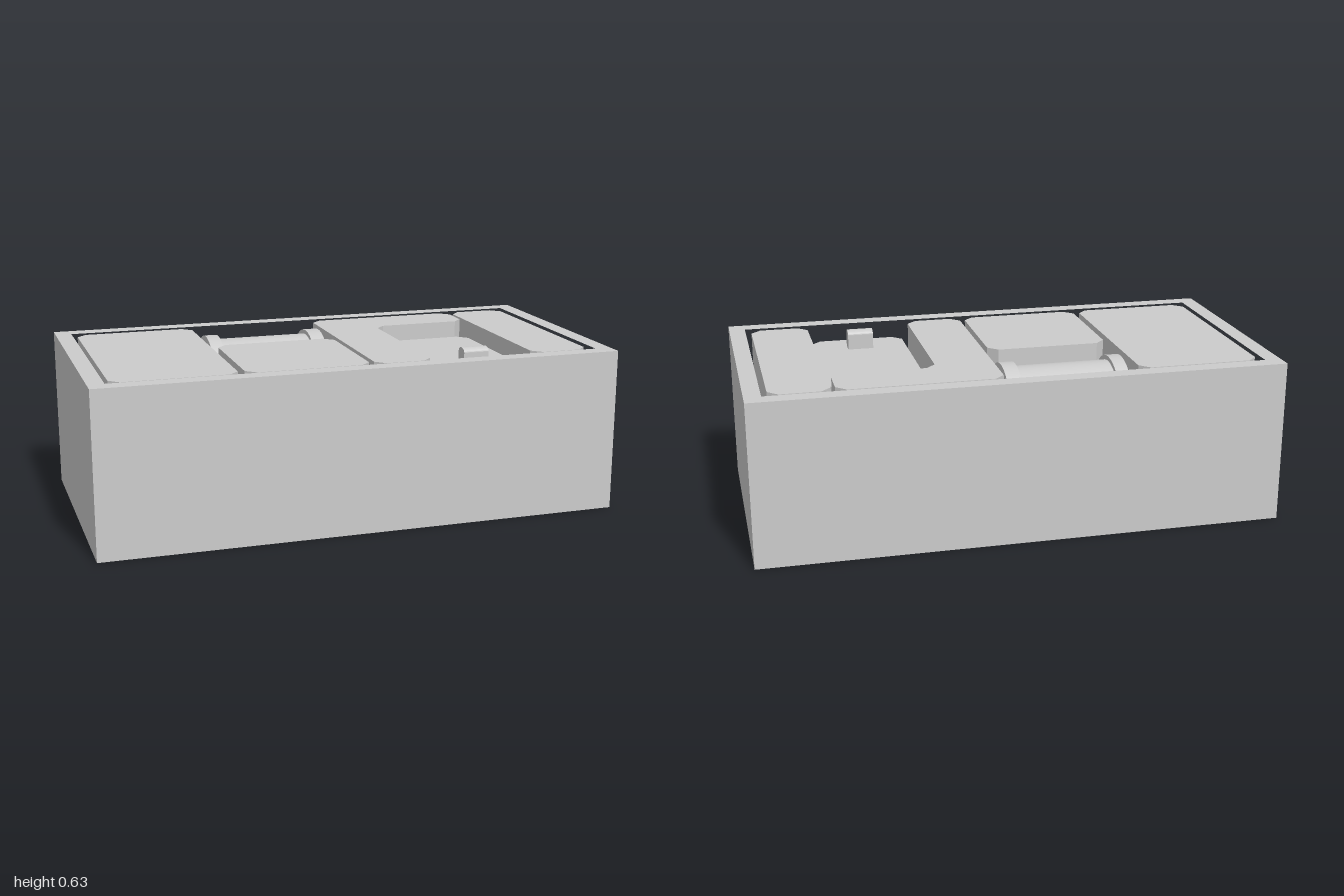
import * as THREE from 'three';

const FLOOR = 0.285, RIM = 0.625, BLOCK_TOP = 0.622;

export function createModel() {
  const model = new THREE.Group();
  const material = new THREE.MeshStandardMaterial({ color: 0xcccccc });

  const add = (name, geometry, parent = model) => {
    const mesh = new THREE.Mesh(geometry, material);
    mesh.name = name;
    parent.add(mesh);
    return mesh;
  };

  // Polygon in plan (x, z) with every corner cut off by a small chamfer
  const chamfered = (corners, cut) => {
    const pts = corners.map(([x, z]) => new THREE.Vector2(x, -z));
    const out = [];
    pts.forEach((p, i) => {
      const prev = pts[(i + pts.length - 1) % pts.length];
      const next = pts[(i + 1) % pts.length];
      for (const q of [prev, next]) {
        out.push(p.clone().add(q.clone().sub(p).setLength(cut)));
      }
    });
    return new THREE.Shape(out);
  };

  const rect = (x0, x1, z0, z1) => [[x0, z1], [x1, z1], [x1, z0], [x0, z0]];

  // Raise a plan shape from y0 to y1
  const raise = (shape, y0, y1) =>
    new THREE.ExtrudeGeometry(shape, { depth: y1 - y0, bevelEnabled: false })
      .rotateX(-Math.PI / 2).translate(0, y0, 0);

  // Open box: four walls and an inner floor
  const outline = rect(-1, 1, -0.5, 0.5).map(([x, z]) => new THREE.Vector2(x, z));
  const walls = new THREE.Shape(outline);
  walls.holes.push(new THREE.Path(
    rect(-0.9375, 0.9375, -0.4375, 0.4375).map(([x, z]) => new THREE.Vector2(x, z))));
  add('caseWalls', raise(walls, 0, RIM));
  add('caseFloor', new THREE.BoxGeometry(1.875, FLOOR, 0.875).translate(0, FLOOR / 2, 0));

  // Fitted blocks filling the box
  const blocks = {
    largeBlock: [rect(-0.92, -0.455, -0.42, 0.42), BLOCK_TOP],
    squareBlock: [rect(-0.43, 0.04, -0.065, 0.42), BLOCK_TOP],
    angledBlock: [[[0.06, 0.42], [0.28, 0.42], [0.28, -0.235],
      [0.675, -0.235], [0.675, -0.42], [0.06, -0.42]], BLOCK_TOP],
    loweredPanel: [rect(0.305, 0.675, -0.215, 0.42), 0.56],
    narrowBlock: [rect(0.69, 0.915, -0.42, 0.42), BLOCK_TOP],
  };
  for (const [name, [corners, top]] of Object.entries(blocks)) {
    add(name, raise(chamfered(corners, 0.037), FLOOR, top));
  }

  // Spool lying along x
  const spool = new THREE.Group();
  spool.name = 'spool';
  spool.position.set(0, 0.455, -0.25);
  model.add(spool);
  const disc = (name, r, x0, x1) =>
    add(name, new THREE.CylinderGeometry(r, r, x1 - x0, 48)
      .rotateZ(Math.PI / 2).translate((x0 + x1) / 2, 0, 0), spool);
  disc('spoolDrum', 0.15, -0.38, -0.015);
  disc('spoolFlangeRight', 0.167, -0.43, -0.38);
  disc('spoolFlangeLeft', 0.167, -0.015, 0.04);

  // Small switch with a rounded top
  const profile = new THREE.Shape();
  profile.moveTo(-0.027, 0);
  profile.lineTo(0.027, 0);
  profile.lineTo(0.027, 0.058);
  profile.absellipse(0, 0.058, 0.027, 0.017, 0, Math.PI, false);
  profile.lineTo(-0.027, 0);
  add('switch', new THREE.ExtrudeGeometry(profile, { depth: 0.1, bevelEnabled: false, curveSegments: 12 })
    .rotateY(Math.PI / 2).translate(0.44, 0.56, 0.305));

  return model;
}
